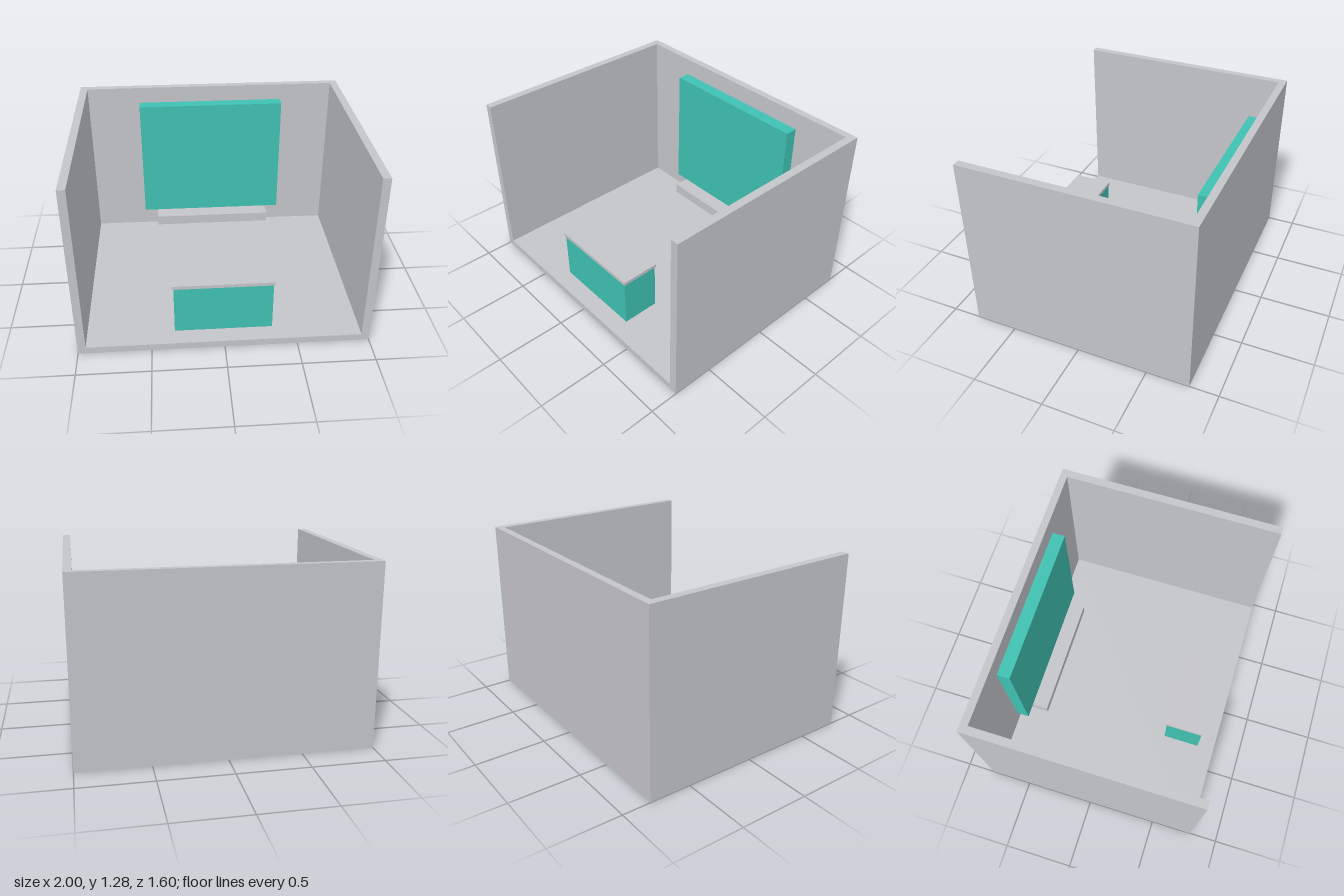
import * as THREE from 'three';

const grey = new THREE.MeshStandardMaterial({ color: 0xc4c5c9 });
grey.name = 'light grey';
const teal = new THREE.MeshStandardMaterial({ color: 0x3fc1b2 });
teal.name = 'teal';

// Box given by its extents along each axis
function box(name, material, [x0, x1], [y0, y1], [z0, z1]) {
  const mesh = new THREE.Mesh(new THREE.BoxGeometry(x1 - x0, y1 - y0, z1 - z0), material);
  mesh.position.set((x0 + x1) / 2, (y0 + y1) / 2, (z0 + z1) / 2);
  mesh.name = name;
  return mesh;
}

// Side and back walls as one U-shaped extrusion, open at the front
function makeWalls(base, top) {
  const plan = [[-1, -0.8], [-0.945, -0.8], [-0.945, 0.748], [0.945, 0.748],
    [0.945, -0.8], [1, -0.8], [1, 0.8], [-1, 0.8]];
  const shape = new THREE.Shape(plan.map(([x, y]) => new THREE.Vector2(x, y)));
  const geometry = new THREE.ExtrudeGeometry(shape, { depth: top - base, bevelEnabled: false });
  geometry.rotateX(-Math.PI / 2);
  geometry.translate(0, base, 0);
  const mesh = new THREE.Mesh(geometry, grey);
  mesh.name = 'walls';
  return mesh;
}

export function createModel() {
  const group = new THREE.Group();
  group.name = 'exhibitionBooth';
  group.add(
    // Shell; the floor sits a hair above the counter's foot
    box('floor', grey, [-1, 1], [0.001, 0.051], [-0.8, 0.8]),
    makeWalls(0.051, 1.28),
    // Display panel with a shelf under it
    box('displayPanel', teal, [-0.55, 0.55], [0.24, 1.165], [-0.73, -0.64]),
    box('shelf', grey, [-0.45, 0.45], [0.163, 0.239], [-0.748, -0.525]),
    // Reception counter, passing through the floor
    box('counterBody', teal, [-0.34, 0.34], [0, 0.415], [0.402, 0.672]),
    box('counterTop', grey, [-0.35, 0.35], [0.415, 0.44], [0.397, 0.68]),
  );
  return group;
}
